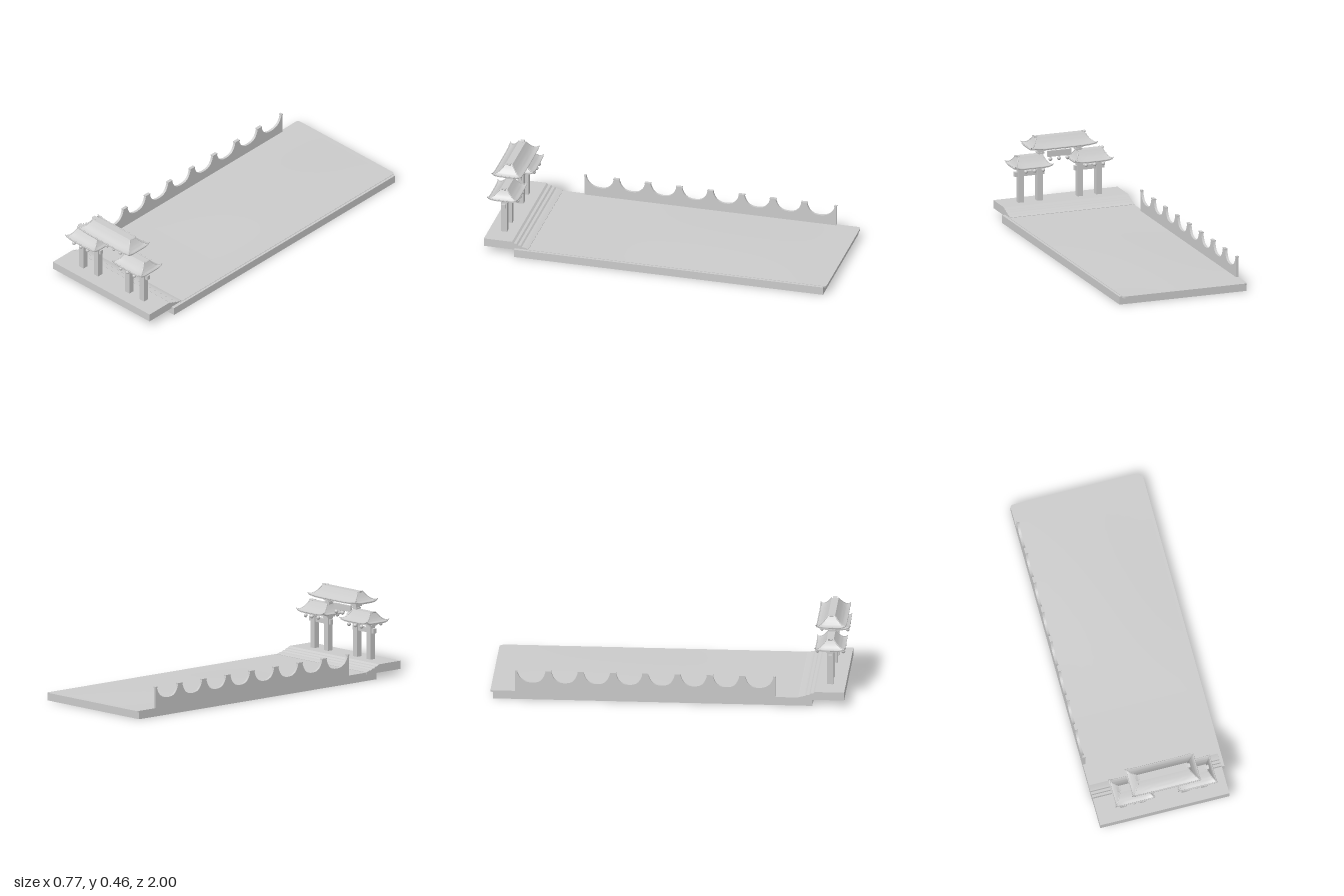
import * as THREE from 'three';
import { toCreasedNormals } from 'three/addons/utils/BufferGeometryUtils.js';

const grey = new THREE.MeshStandardMaterial({ color: 0xcccccc, side: THREE.DoubleSide });
const GX = 0.002, GZ = 0.912; // gate centre

function add(parent, name, geo, x = 0, y = 0, z = 0) {
  const mesh = new THREE.Mesh(geo, grey);
  mesh.name = name;
  mesh.position.set(x, y, z);
  parent.add(mesh);
  return mesh;
}

// box given by its two extreme corners
function span(parent, name, x0, x1, y0, y1, z0, z1) {
  return add(parent, name, new THREE.BoxGeometry(x1 - x0, y1 - y0, z1 - z0),
    (x0 + x1) / 2, (y0 + y1) / 2, (z0 + z1) / 2);
}

// profile drawn in (z, y), extruded across x from x0 to x1
function sideProfile(parent, name, shape, x0, x1) {
  const geo = new THREE.ExtrudeGeometry(shape, { depth: x1 - x0, bevelEnabled: false, curveSegments: 14 });
  geo.rotateY(-Math.PI / 2);
  return add(parent, name, toCreasedNormals(geo, 0.5), x1, 0, 0);
}

// concave hipped roof: eave half sizes ex/ez, ridge half sizes rx/rz, height h
function roof(ex, ez, rx, rz, h) {
  const group = new THREE.Group();
  const SEG = 10, ROWS = 8, lift = 0.009;
  const at = (t, u, v) => { // t: 0 eave to 1 ridge; u, v: -1..1 across the plan
    const k = Math.pow(t, 0.72);
    const corner = Math.pow(Math.abs(u * v), 5);
    return new THREE.Vector3(u * (ex + (rx - ex) * k), h * Math.pow(t, 1.18) + lift * corner * (1 - t) ** 4,
      v * (ez + (rz - ez) * k));
  };
  const plan = [];
  const corners = [[-1, 1], [1, 1], [1, -1], [-1, -1]];
  corners.forEach(([u, v], i) => {
    const [u2, v2] = corners[(i + 1) % 4];
    for (let s = 0; s < SEG; s++) plan.push([u + (u2 - u) * s / SEG, v + (v2 - v) * s / SEG]);
  });
  const rings = [plan.map(() => new THREE.Vector3(0, 0.004, 0))];
  rings.push(plan.map(([u, v]) => at(0, u, v).add(new THREE.Vector3(0, -0.008, 0))));
  for (let r = 0; r <= ROWS; r++) rings.push(plan.map(([u, v]) => at(r / ROWS, u, v)));
  rings.push(plan.map(() => new THREE.Vector3(0, h, 0)));
  const pos = [], idx = [], n = plan.length;
  rings.forEach(ring => ring.forEach(p => pos.push(p.x, p.y, p.z)));
  for (let r = 0; r < rings.length - 1; r++)
    for (let i = 0; i < n; i++) {
      const a = r * n + i, b = r * n + (i + 1) % n;
      idx.push(a, b, b + n, a, b + n, a + n);
    }
  const geo = new THREE.BufferGeometry();
  geo.setAttribute('position', new THREE.Float32BufferAttribute(pos, 3));
  geo.setIndex(idx);
  add(group, 'roofShell', toCreasedNormals(geo, 0.6));

  // rolled edge around the eaves
  const edge = new THREE.CatmullRomCurve3(plan.map(([u, v]) => at(0, u, v)), true, 'centripetal');
  add(group, 'eaveRoll', new THREE.TubeGeometry(edge, 80, 0.0035, 6, true));

  // hip ribs with upturned tips
  for (const [u, v] of corners) {
    const pts = [new THREE.Vector3(u * (ex + 0.005), lift + 0.005, v * (ez + 0.002))];
    for (let r = 0; r <= 6; r++) pts.push(at(r / 6, u, v));
    add(group, 'hipRib', new THREE.TubeGeometry(new THREE.CatmullRomCurve3(pts), 18, 0.003, 6));
  }

  // horns at the ridge ends
  for (const s of [-1, 1]) {
    const horn = new THREE.Shape([[-0.012, -0.008], [0.006, -0.004], [0.013, 0.002], [0.012, 0.006], [0, 0.002], [-0.012, 0.001]]
      .map(([x, y]) => new THREE.Vector2(x, y)));
    const hg = new THREE.ExtrudeGeometry(horn, { depth: 0.024, bevelEnabled: false });
    hg.translate(0, 0, -0.012);
    const mesh = add(group, 'ridgeHorn', hg, s * rx, h, 0);
    if (s < 0) mesh.rotation.y = Math.PI;
  }
  return group;
}

// stacked bracket blocks, widening upwards
function bracket(parent, x, y, rows) {
  for (const [w, d, h] of rows) {
    span(parent, 'bracketBlock', x - w / 2, x + w / 2, y, y + h, GZ - d / 2, GZ + d / 2);
    y += h;
  }
}

function lantern(parent, x, y, z, top) {
  add(parent, 'lantern', new THREE.SphereGeometry(0.011, 16, 12), x, y, z);
  add(parent, 'lanternCap', new THREE.CylinderGeometry(0.004, 0.004, 0.024, 10), x, y, z);
  add(parent, 'lanternCord', new THREE.CylinderGeometry(0.001, 0.001, top - y, 5), x, (top + y) / 2, z);
}

function buildGround(root) {
  span(root, 'baseSlab', -0.385, 0.385, 0, 0.046, -0.985, 0.82);

  // paving with rounded back corners
  const r = 0.02, p = new THREE.Shape();
  p.moveTo(-0.385, -0.76);
  p.lineTo(0.37, -0.76);
  p.lineTo(0.37, 1 - r);
  p.quadraticCurveTo(0.37, 1, 0.37 - r, 1);
  p.lineTo(-0.385 + r, 1);
  p.quadraticCurveTo(-0.385, 1, -0.385, 1 - r);
  const paving = new THREE.ExtrudeGeometry(p, { depth: 0.01, bevelEnabled: false });
  paving.rotateX(-Math.PI / 2);
  add(root, 'paving', paving, 0, 0.038, 0);

  // barely raised middle of the court
  const mound = new THREE.PlaneGeometry(0.74, 1.3, 12, 16).rotateX(-Math.PI / 2);
  const a = mound.attributes.position;
  for (let i = 0; i < a.count; i++)
    a.setY(i, 0.009 * Math.cos(a.getX(i) / 0.74 * Math.PI) * Math.cos(a.getZ(i) / 1.3 * Math.PI));
  mound.computeVertexNormals();
  add(root, 'courtMound', mound, 0, 0.0485, -0.32);

  // terrace with steps down towards the court
  const steps = new THREE.Shape([[1, 0.037], [1, 0.084], [0.835, 0.084], [0.825, 0.075], [0.81, 0.074],
    [0.802, 0.066], [0.787, 0.065], [0.779, 0.058], [0.764, 0.057], [0.74, 0.05], [0.74, 0.037]]
    .map(([z, y]) => new THREE.Vector2(z, y)));
  sideProfile(root, 'terraceSteps', steps, -0.387, 0.366);
}

function buildWall(root) {
  // scalloped wall with eight hollows between capped peaks
  const z0 = -0.86, z1 = 0.61, n = 8, pitch = 0.1826, cap = 0.034, first = -0.8545;
  const s = new THREE.Shape();
  s.moveTo(z0, 0.04);
  s.lineTo(z0, 0.17);
  for (let i = 0; i < n; i++) {
    const c = first + pitch * (i + 0.5), half = (pitch - cap) / 2;
    const left = i ? c - half : first + 0.006, right = i < n - 1 ? c + half : first + pitch * n - 0.006;
    s.lineTo(left, 0.17);
    s.lineTo(left, 0.16);
    s.bezierCurveTo(left + 0.012, 0.12, c - 0.045, 0.1, c, 0.1);
    s.bezierCurveTo(c + 0.045, 0.1, right - 0.012, 0.12, right, 0.16);
    s.lineTo(right, 0.17);
  }
  s.lineTo(z1, 0.17);
  s.lineTo(z1, 0.04);
  sideProfile(root, 'scallopedWall', s, -0.385, -0.371);
  for (let i = 0; i <= n; i++) {
    const z = first + pitch * i, h = i % n ? 0.018 : 0.007;
    span(root, 'wallCap', -0.387, -0.369, 0.163, 0.17, z - h, z + h);
  }
}

function buildGate() {
  const gate = new THREE.Group();
  gate.name = 'gate';
  for (const s of [-1, 1]) {
    const cx = GX + s * 0.182;
    for (const x of [GX + s * 0.122, GX + s * 0.236]) {
      span(gate, 'pillar', x - 0.017, x + 0.017, 0.083, 0.272, GZ - 0.017, GZ + 0.017);
      bracket(gate, x, 0.27, [[0.038, 0.04, 0.008], [0.05, 0.06, 0.008], [0.06, 0.085, 0.01]]);
    }
    span(gate, 'crossBeam', cx - 0.09, cx + 0.09, 0.235, 0.262, GZ - 0.01, GZ + 0.01);
    span(gate, 'eaveBeam', cx - 0.085, cx + 0.085, 0.28, 0.295, GZ - 0.02, GZ + 0.02);
    for (const dx of [-0.053, 0, 0.052])
      for (const dz of [-0.073, 0.073]) lantern(gate, cx - 0.004 + dx, 0.279, GZ + dz, 0.297);
    const low = roof(0.11, 0.082, 0.073, 0.02, 0.055);
    low.name = 'sideRoof';
    low.position.set(cx, 0.299, GZ);
    gate.add(low);
    // brackets carrying the main roof
    const bx = GX + s * 0.115;
    bracket(gate, bx, 0.35, [[0.026, 0.026, 0.008], [0.04, 0.035, 0.008], [0.028, 0.03, 0.006],
      [0.045, 0.045, 0.01], [0.06, 0.06, 0.012], [0.045, 0.075, 0.008]]);
  }
  span(gate, 'roofBeam', GX - 0.15, GX + 0.15, 0.388, 0.402, GZ - 0.012, GZ + 0.012);
  const main = roof(0.196, 0.082, 0.146, 0.02, 0.056);
  main.name = 'mainRoof';
  main.position.set(GX, 0.402, GZ);
  gate.add(main);

  // hanging board with three lanterns
  span(gate, 'hangingBoard', -0.072, 0.073, 0.33, 0.365, GZ - 0.006, GZ + 0.006);
  for (const x of [-0.066, 0.067])
    add(gate, 'boardCord', new THREE.CylinderGeometry(0.0007, 0.0007, 0.04, 5), x, 0.38, GZ);
  for (const x of [-0.048, 0.003, 0.055]) lantern(gate, x, 0.316, GZ, 0.332);
  return gate;
}

export function createModel() {
  const root = new THREE.Group();
  root.name = 'gateCourt';
  buildGround(root);
  buildWall(root);
  root.add(buildGate());
  return root;
}
